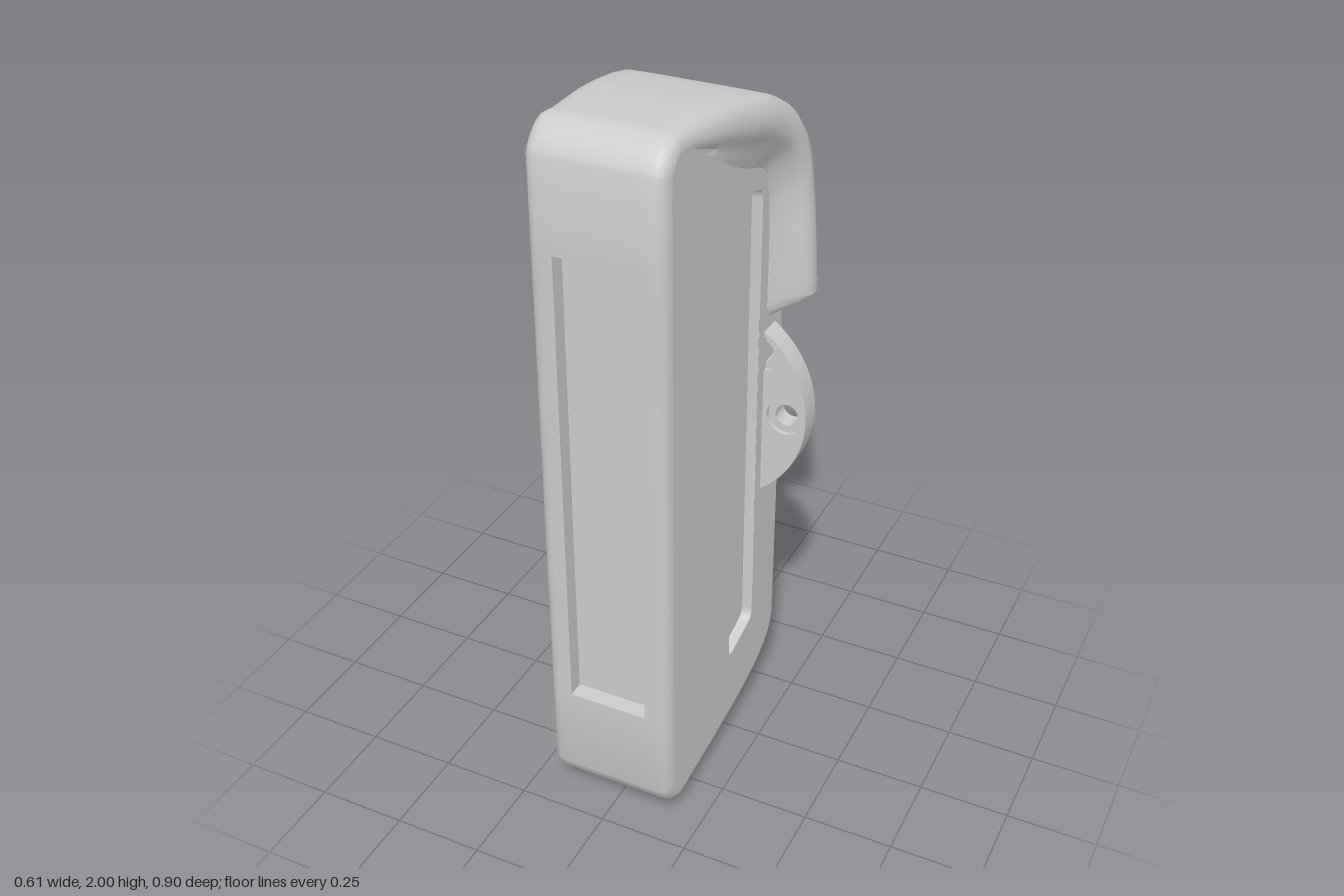
import * as THREE from 'three';
import { toCreasedNormals } from 'three/addons/utils/BufferGeometryUtils.js';

const grey = new THREE.MeshStandardMaterial({ color: 0xcccccc });
const greyBoth = new THREE.MeshStandardMaterial({ color: 0xcccccc, side: THREE.DoubleSide });
const lerp = THREE.MathUtils.lerp;

function add(parent, name, geometry, material = grey) {
  const mesh = new THREE.Mesh(geometry, material);
  mesh.name = name;
  parent.add(mesh);
  return mesh;
}

// Surface through rows of points; keep(i, j) may drop single quads
function grid(rows, closed, crease = 0.6, keep = () => true) {
  const n = rows[0].length, index = [];
  for (let i = 0; i < rows.length - 1; i++) {
    for (let j = 0; j < (closed ? n : n - 1); j++) {
      if (!keep(i, j)) continue;
      const k = (j + 1) % n, a = i * n + j, b = a + n, c = i * n + k, d = c + n;
      index.push(a, b, c, b, d, c);
    }
  }
  const g = new THREE.BufferGeometry();
  g.setAttribute('position', new THREE.Float32BufferAttribute(rows.flat(2), 3));
  g.setIndex(index);
  return toCreasedNormals(g, crease);
}

// Recess below the local XY plane
function pocket(parent, name, pts, depth) {
  const g = new THREE.Group();
  g.name = name;
  add(g, name + 'Wall', grid([pts.map(p => [p.x, p.y, 0]), pts.map(p => [p.x, p.y, -depth])], true), greyBoth);
  add(g, name + 'Floor', new THREE.ShapeGeometry(new THREE.Shape(pts))).position.z = -depth;
  parent.add(g);
  return g;
}

// Polygon with rounded corners
function rounded(corners, r) {
  const s = new THREE.Shape(), v = corners.map(c => new THREE.Vector2(...c));
  v.forEach((p, i) => {
    const toward = q => p.clone().add(q.clone().sub(p).setLength(r));
    const a = toward(v[(i + v.length - 1) % v.length]), b = toward(v[(i + 1) % v.length]);
    i ? s.lineTo(a.x, a.y) : s.moveTo(a.x, a.y);
    s.quadraticCurveTo(p.x, p.y, b.x, b.y);
  });
  return s.getPoints(5);
}

// Moves a counter-clockwise outline inwards
function inset(pts, d) {
  return pts.map((p, i) => {
    const a = p.clone().sub(pts[(i + pts.length - 1) % pts.length]).normalize();
    const b = pts[(i + 1) % pts.length].clone().sub(p).normalize();
    const n = new THREE.Vector2(-a.y - b.y, a.x + b.x).normalize();
    const k = d / Math.max(0.5, n.dot(new THREE.Vector2(-a.y, a.x)));
    return p.clone().addScaledVector(n, k);
  });
}

const MOUNT_Y = 1.02;
// Curved edge that runs around the mounting disc
const arc = x => Math.sqrt(0.1024 - x * x) - 0.2646;

function buildBody(root) {
  // Side profile as (z, y), front segment first
  const s = new THREE.Shape();
  s.moveTo(0.45, 0.37);
  s.lineTo(0.45, 1.68);
  s.lineTo(0.45, 1.92);
  s.quadraticCurveTo(0.425, 1.98, 0.37, 1.995);
  s.bezierCurveTo(0.05, 1.96, -0.265, 1.93, -0.265, 1.68);
  s.lineTo(-0.265, 1.32);
  s.quadraticCurveTo(-0.265, 1.285, -0.235, 1.285);
  s.lineTo(-0.12, 1.285);
  s.lineTo(-0.12, 0.755);
  s.lineTo(-0.235, 0.755);
  s.quadraticCurveTo(-0.27, 0.755, -0.27, 0.72);
  s.lineTo(-0.27, 0.27);
  s.bezierCurveTo(-0.27, 0.1, 0, 0.08, 0.37, 0.04);
  s.quadraticCurveTo(0.425, 0.055, 0.45, 0.12);
  const profile = s.getPoints(10);

  // Rings across the width, with rounded edges
  const R = 0.035, W = 0.18, half = [[0.037, 0], [0.073, 0], [0.11, 0]];
  for (let i = 0; i <= 5; i++) {
    const a = i / 5 * Math.PI / 2;
    half.push([W - R + R * Math.sin(a), R * (1 - Math.cos(a))]);
  }
  const rings = [...half.map(([x, d]) => [-x, d]).reverse(), [0, 0], ...half];
  const rows = rings.map(([x, d]) => inset(profile, d).map(p => {
    const nearMount = p.x < -0.08 && Math.abs(p.y - MOUNT_Y) < 0.35;
    return [x, p.y + (nearMount ? Math.sign(p.y - MOUNT_Y) * arc(x) : 0), p.x];
  }));
  const inFront = i => Math.abs(rings[i][0]) < 0.111 && Math.abs(rings[i + 1][0]) < 0.111;
  add(root, 'body', grid(rows, true, 0.6, (i, j) => !(j === 0 && inFront(i))));

  // Flat sides with a long slot each
  const slot = rounded([[-0.068, 0.31], [0.088, 0.35], [0.088, 1.685], [-0.068, 1.73]], 0.03);
  for (const side of [1, -1]) {
    const mirror = new THREE.Group(), panel = new THREE.Group();
    mirror.name = side > 0 ? 'leftSide' : 'rightSide';
    mirror.scale.x = side;
    panel.rotation.y = Math.PI / 2;
    panel.position.x = W;
    const face = new THREE.Shape(rows[rows.length - 1].map(p => new THREE.Vector2(-p[2], p[1])));
    face.holes.push(new THREE.Path(slot));
    add(panel, 'sidePanel', new THREE.ShapeGeometry(face));
    pocket(panel, 'sideSlot', slot, 0.03);
    mirror.add(panel);
    root.add(mirror);
  }

  // Long window recess in the front
  const win = [[-0.11, 0.37], [0.11, 0.37], [0.11, 1.68], [-0.11, 1.68]].map(p => new THREE.Vector2(...p));
  pocket(root, 'frontWindow', win, 0.045).position.z = 0.45;
}

function buildHood(root) {
  // Stations: outer z, y; rim z, y; wall foot z, y; half width
  const st = [
    [0.36, 1.998, 0.36, 1.94, 0.36, 1.93, 0.175],
    [0.2, 1.99, 0.2, 1.9, 0.22, 1.87, 0.195],
    [0.05, 1.968, 0.06, 1.865, 0.1, 1.8, 0.212],
    [-0.08, 1.935, -0.06, 1.83, 0.02, 1.765, 0.228],
    [-0.18, 1.878, -0.14, 1.775, -0.08, 1.73, 0.24],
    [-0.245, 1.79, -0.18, 1.7, -0.115, 1.66, 0.25],
    [-0.272, 1.66, -0.19, 1.62, -0.125, 1.6, 0.258],
    [-0.275, 1.5, -0.19, 1.5, -0.13, 1.5, 0.27],
    [-0.275, 1.33, -0.19, 1.33, -0.13, 1.33, 0.28],
  ];
  const curve = k => new THREE.CatmullRomCurve3(st.map(r => new THREE.Vector3(r[6], r[k + 1], r[k])));
  const [outer, rim, foot] = [0, 2, 4].map(curve);
  const section = t => {
    const P = outer.getPoint(t), Q = rim.getPoint(t), F = foot.getPoint(t), w = P.x;
    const at = (x, A, B, f) => [x, lerp(A.y, B.y, f), lerp(A.z, B.z, f)];
    const right = [
      at(w * 0.25, P, Q, 0), at(w * 0.5, P, Q, 0), at(w - 0.05, P, Q, 0.01), at(w - 0.025, P, Q, 0.09),
      at(w - 0.007, P, Q, 0.28), at(w, P, Q, 0.55), at(w - 0.003, P, Q, 0.85), at(w - 0.015, P, Q, 1),
      at(lerp(w, 0.175, 0.6), Q, F, 0.35), at(Math.min(w, 0.175), Q, F, 1),
    ];
    return [...right.slice().reverse(), at(0, P, Q, 0), ...right.map(([x, y, z]) => [-x, y, z])];
  };
  const rows = [];
  for (let i = 0; i <= 48; i++) rows.push(section(i / 48));
  // Rounded lower lip, arched over the disc
  const lift = x => Math.abs(x) < 0.18 ? arc(x) : (Math.abs(x) - 0.18) * 0.6;
  const end = rows.pop();
  for (const [y, s] of [[1.33, 0], [1.308, 0.08], [1.292, 0.25], [1.285, 0.5], [1.285, 1]])
    rows.push(end.map(([x, , z]) => [x * (1 - 0.12 * s), y + lift(x), lerp(z, -0.2, s)]));
  add(root, 'hood', grid(rows, false, 0.9), greyBoth);
}

function buildMount(root) {
  const mount = new THREE.Group();
  mount.name = 'mountingDisc';
  mount.position.set(0, MOUNT_Y, 0);
  root.add(mount);
  // Two layers give the screw holes a wider step at the front
  const layer = (name, hole, z, depth) => {
    const s = new THREE.Shape().absarc(0, 0, 0.305, 0, Math.PI * 2);
    for (const [x, y] of [[0.245, 0], [-0.245, 0], [0.17, 0.18]])
      s.holes.push(new THREE.Path().absarc(x, y, hole, 0, Math.PI * 2, true));
    const g = new THREE.ExtrudeGeometry(s, { depth, bevelEnabled: false, curveSegments: 40 });
    add(mount, name, toCreasedNormals(g, 0.6)).position.z = z;
  };
  layer('discFront', 0.052, -0.137, 0.014);
  layer('discBack', 0.032, -0.19, 0.053);
  const hub = new THREE.LatheGeometry([[0.15, 0], [0.15, 0.02], [0.143, 0.027], [0, 0.027]]
    .map(p => new THREE.Vector2(...p)), 48);
  const h = add(mount, 'hub', toCreasedNormals(hub, 0.5), greyBoth);
  h.rotation.x = -Math.PI / 2;
  h.position.z = -0.189;
}

function buildCable(root) {
  // Upright cable bracket
  const s = new THREE.Shape();
  s.moveTo(0, 0.12);
  s.lineTo(0, 0.07);
  s.quadraticCurveTo(-0.03, 0.01, 0.13, 0.01);
  s.lineTo(0.3, 0.01);
  s.quadraticCurveTo(0.335, 0.015, 0.335, 0.06);
  s.lineTo(0.335, 0.578);
  s.lineTo(0.25, 0.578);
  s.lineTo(0.25, 0.12);
  const bracket = new THREE.ExtrudeGeometry(s, { depth: 0.08, bevelEnabled: false });
  bracket.translate(0, 0, -0.04).rotateY(Math.PI / 2);
  add(root, 'cableBracket', toCreasedNormals(bracket, 0.6));

  const path = [[0.022, -0.25], [0.024, -0.31], [0.07, -0.372], [0.17, -0.392]];
  const line = new THREE.CatmullRomCurve3(path.map(([y, z]) => new THREE.Vector3(0, y, z)));
  add(root, 'cable', new THREE.TubeGeometry(line, 24, 0.022, 12));

  // Plug with ribbed neck and open socket
  const plug = new THREE.Group();
  plug.name = 'plug';
  plug.position.z = -0.392;
  root.add(plug);
  const pts = [[0, 0.15], [0.036, 0.15], [0.042, 0.158], [0.042, 0.185], [0.053, 0.195], [0.055, 0.265], [0.046, 0.285]];
  for (let i = 0; i < 4; i++) {
    const y = 0.29 + i * 0.02;
    pts.push([0.038, y], [0.038, y + 0.006], [0.047, y + 0.009], [0.047, y + 0.017]);
  }
  pts.push([0.045, 0.375], [0.053, 0.41], [0.055, 0.575], [0.045, 0.575], [0.045, 0.54], [0, 0.54]);
  const shell = new THREE.LatheGeometry(pts.map(p => new THREE.Vector2(...p)), 28);
  add(plug, 'plugShell', toCreasedNormals(shell, 0.5), greyBoth);
  for (let i = 0; i < 6; i++) {
    const a = i * Math.PI / 3 + 0.3;
    const grip = add(plug, 'plugGrip', new THREE.BoxGeometry(0.014, 0.05, 0.006));
    grip.position.set(Math.sin(a) * 0.054, i % 2 ? 0.235 : 0.53, Math.cos(a) * 0.054);
    grip.rotation.y = a;
  }
  for (let i = 0; i < 3; i++) {
    const a = i * Math.PI * 2 / 3;
    const key = add(plug, 'socketKey', new THREE.BoxGeometry(0.008, 0.012, 0.022));
    key.position.set(-Math.sin(a) * 0.011, 0.545, -Math.cos(a) * 0.011);
    key.rotation.y = a;
    add(plug, 'socketPin', new THREE.CylinderGeometry(0.004, 0.004, 0.025, 8))
      .position.set(Math.sin(a) * 0.022, 0.55, Math.cos(a) * 0.022);
  }
}

export function createModel() {
  const root = new THREE.Group();
  root.name = 'wallUnit';
  buildBody(root);
  buildHood(root);
  buildMount(root);
  buildCable(root);
  return root;
}
